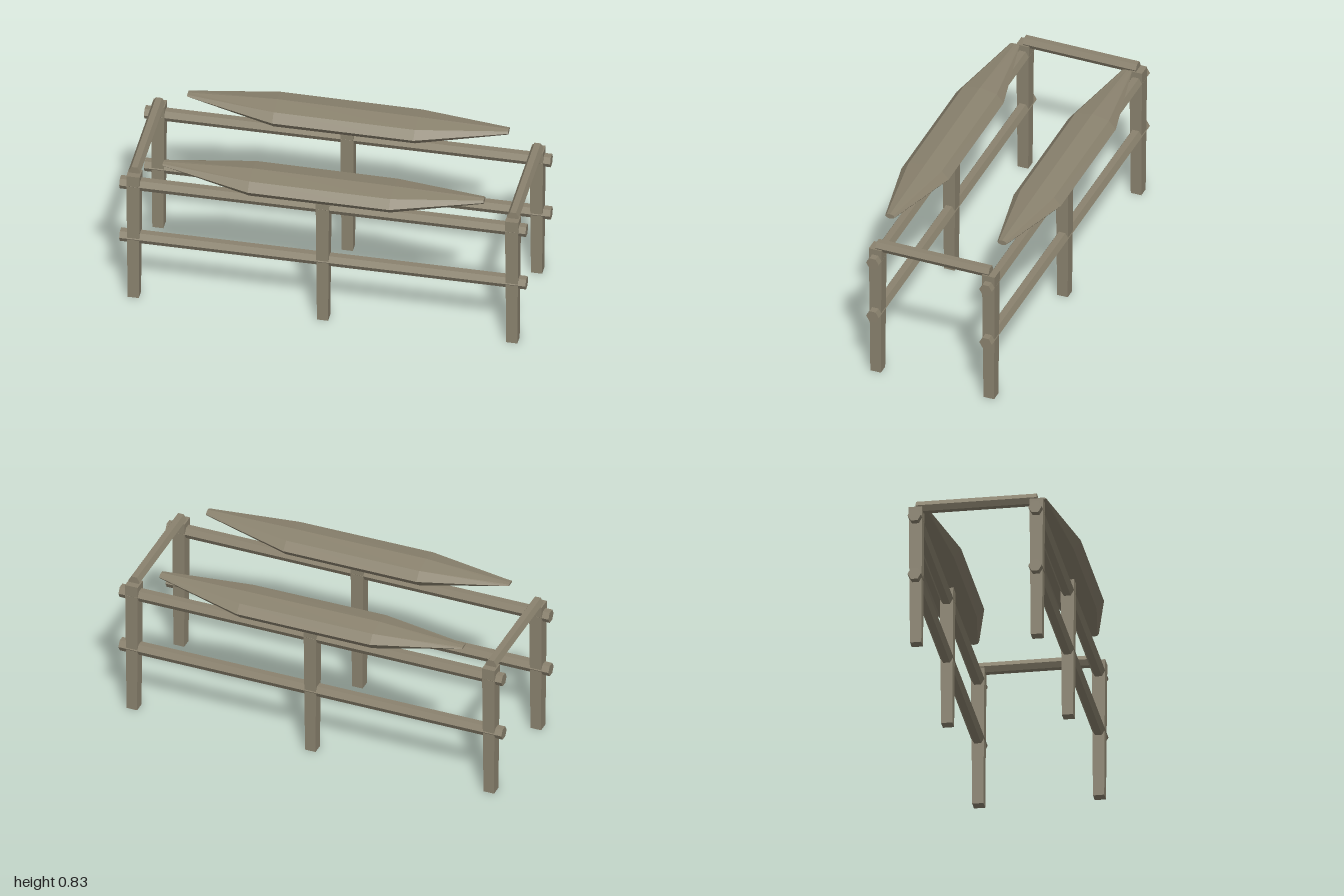
import * as THREE from 'three';

export function createModel() {
  const group = new THREE.Group();
  const wood = new THREE.MeshStandardMaterial({ color: 0x8a826e });
  wood.flatShading = true;

  const add = (name, geometry, x, y, z) => {
    const mesh = new THREE.Mesh(geometry, wood);
    mesh.name = name;
    mesh.position.set(x, y, z);
    group.add(mesh);
  };

  // Square posts, slightly wider at the top
  const post = new THREE.CylinderGeometry(0.033 * Math.SQRT2, 0.0275 * Math.SQRT2, 0.718, 4);
  post.rotateY(Math.PI / 4);

  // Six-sided poles: rails along x, crossbars along z, flat sides up
  const rail = new THREE.CylinderGeometry(0.033, 0.033, 2, 6);
  rail.rotateZ(Math.PI / 2);
  const crossbar = new THREE.CylinderGeometry(0.03, 0.03, 0.59, 6);
  crossbar.rotateY(Math.PI / 6).rotateX(Math.PI / 2);
  crossbar.rotateZ(Math.PI / 3);

  // Eight-sided hull lofted through stations [x, centre y, half height, half width]
  const hull = () => {
    const stations = [
      [-0.79, 0.797, 0.006, 0.025],
      [-0.35, 0.768, 0.059, 0.123],
      [0.345, 0.766, 0.056, 0.123],
      [0.79, 0.803, 0.013, 0.025],
    ];
    const n = 8, pos = [], index = [];
    for (const [x, y, h, w] of stations) {
      for (let i = 0; i < n; i++) {
        const a = (i / n) * Math.PI * 2;
        pos.push(x, y + h * Math.cos(a), w * Math.sin(a));
      }
    }
    for (let s = 0; s < stations.length - 1; s++) {
      for (let i = 0; i < n; i++) {
        const a = s * n + i, b = s * n + (i + 1) % n;
        index.push(a, b, b + n, a, b + n, a + n);
      }
    }
    const last = (stations.length - 1) * n;
    for (let i = 1; i < n - 1; i++) {
      index.push(0, i + 1, i);
      index.push(last, last + i, last + i + 1);
    }
    const g = new THREE.BufferGeometry();
    g.setAttribute('position', new THREE.Float32BufferAttribute(pos, 3));
    g.setIndex(index);
    g.computeVertexNormals();
    return g;
  };
  const hullGeometry = hull();

  // Matching front and back frames, each carrying one hull
  for (const [side, z] of [['front', 0.295], ['back', -0.295]]) {
    for (const x of [-0.932, 0, 0.932]) add(side + 'Post', post, x, 0.359, z);
    add(side + 'LowerRail', rail, 0, 0.347, z);
    add(side + 'UpperRail', rail, 0, 0.658, z);
    add(side + 'Hull', hullGeometry, 0, 0, z > 0 ? 0.29 : -0.295);
  }

  // Crossbars joining the frames at both ends
  for (const x of [-0.932, 0.932]) add('crossbar', crossbar, x, 0.726, 0);

  return group;
}
